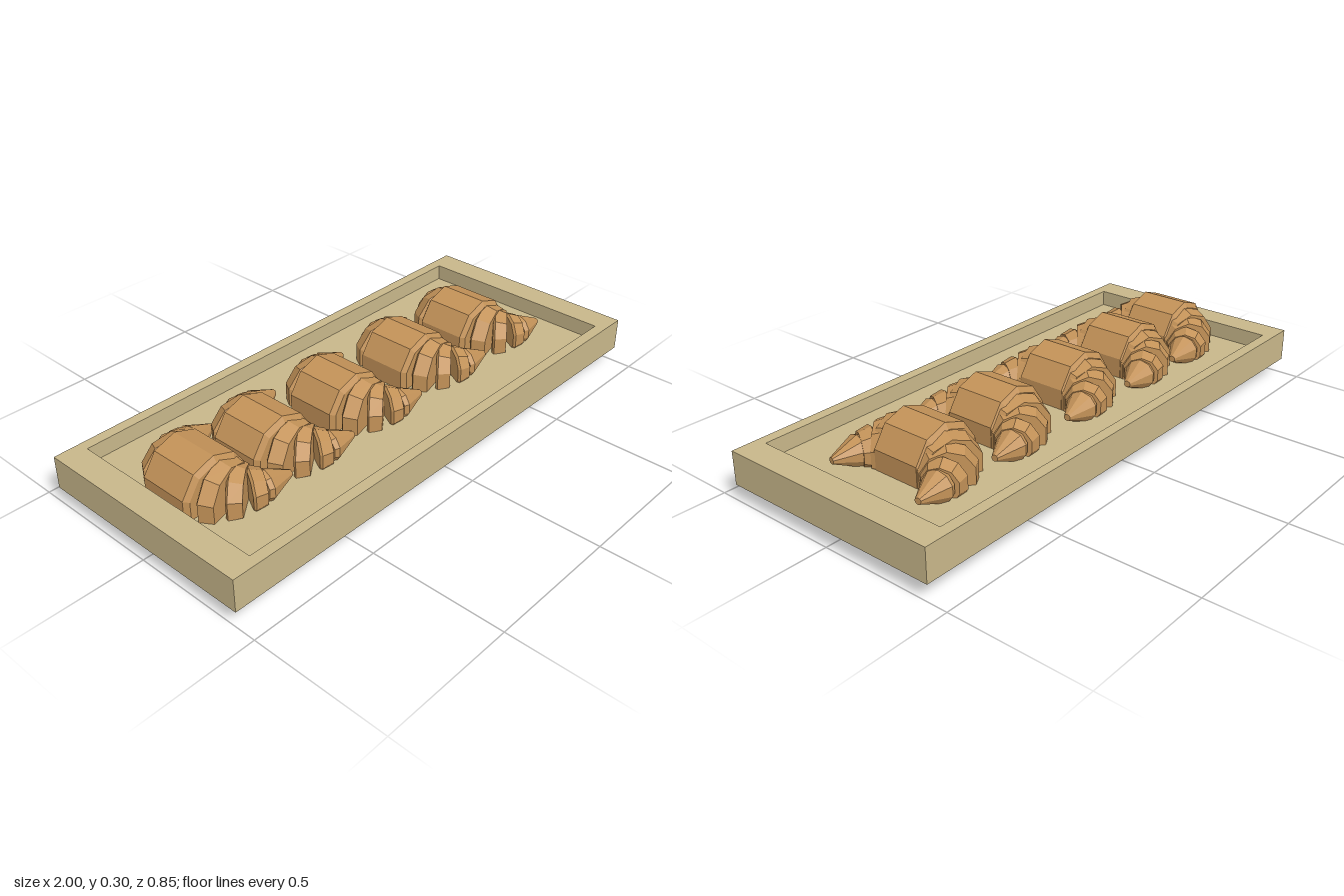
import * as THREE from 'three';

const crust = new THREE.MeshStandardMaterial({ color: 0xc39258, flatShading: true });
const wood = new THREE.MeshStandardMaterial({ color: 0xc8b78a, flatShading: true });

// Ten-sided solid turned around the z axis; profile is a list of [radius, z]
function turned(profile) {
  const points = profile.map(([r, z]) => new THREE.Vector2(r, z));
  return new THREE.LatheGeometry(points, 10).rotateX(Math.PI / 2);
}

// Layers of one horn: x, z, turn in degrees, start radius, end radius, length
const LAYERS = [
  [0.01, 0.088, 15, 0.13, 0.114, 0.058],
  [0.035, 0.12, 38, 0.108, 0.092, 0.052],
  [0.075, 0.155, 62, 0.08, 0.064, 0.05],
  [0.11, 0.175, 82, 0.058, 0.012, 0.116],
];

function createCroissant() {
  const croissant = new THREE.Group();

  // Wide middle roll with chamfered ends
  const body = new THREE.Mesh(turned([
    [0, -0.105], [0.128, -0.105], [0.148, -0.092],
    [0.148, 0.092], [0.128, 0.105], [0, 0.105],
  ]), crust);
  body.scale.x = 0.94;
  body.name = 'croissantBody';
  croissant.add(body);

  // Overlapping layers curling forward on both sides
  for (const side of [1, -1]) {
    const horn = new THREE.Group();
    horn.name = side > 0 ? 'frontHorn' : 'backHorn';
    LAYERS.forEach(([x, z, degrees, r0, r1, length], i) => {
      const layer = new THREE.Mesh(turned([
        [0, 0], [r0 * 0.9, 0], [r0, length * 0.15], [r1, length], [0, length],
      ]), crust);
      const angle = THREE.MathUtils.degToRad(degrees);
      layer.position.set(x, 0.003 * i, z * side);
      layer.rotation.y = side > 0 ? angle : Math.PI - angle;
      layer.name = i === LAYERS.length - 1 ? 'hornTip' : 'hornLayer';
      horn.add(layer);
    });
    croissant.add(horn);
  }
  return croissant;
}

function rectangle(PathType, halfX, halfZ) {
  return new PathType([
    new THREE.Vector2(-halfX, -halfZ), new THREE.Vector2(halfX, -halfZ),
    new THREE.Vector2(halfX, halfZ), new THREE.Vector2(-halfX, halfZ),
  ]);
}

function createTray() {
  const tray = new THREE.Group();
  tray.name = 'tray';

  // Raised rim around the recess
  const outline = rectangle(THREE.Shape, 1, 0.427);
  outline.holes.push(rectangle(THREE.Path, 0.9, 0.386));
  const rim = new THREE.Mesh(
    new THREE.ExtrudeGeometry(outline, { depth: 0.122, bevelEnabled: false }).rotateX(-Math.PI / 2), wood);
  rim.position.y = 0.058;
  rim.name = 'trayRim';

  // Floor inside the rim
  const floor = new THREE.Mesh(new THREE.BoxGeometry(1.8, 0.062, 0.772), wood);
  floor.position.y = 0.089;
  floor.name = 'trayFloor';

  tray.add(rim, floor);
  return tray;
}

export function createModel() {
  const model = new THREE.Group();
  model.name = 'croissantTray';
  model.add(createTray());

  // Row of croissants
  for (const x of [-0.75, -0.46, -0.113, 0.254, 0.592]) {
    const croissant = createCroissant();
    croissant.position.set(x, 0.148, -0.022);
    croissant.name = 'croissant';
    model.add(croissant);
  }
  return model;
}
